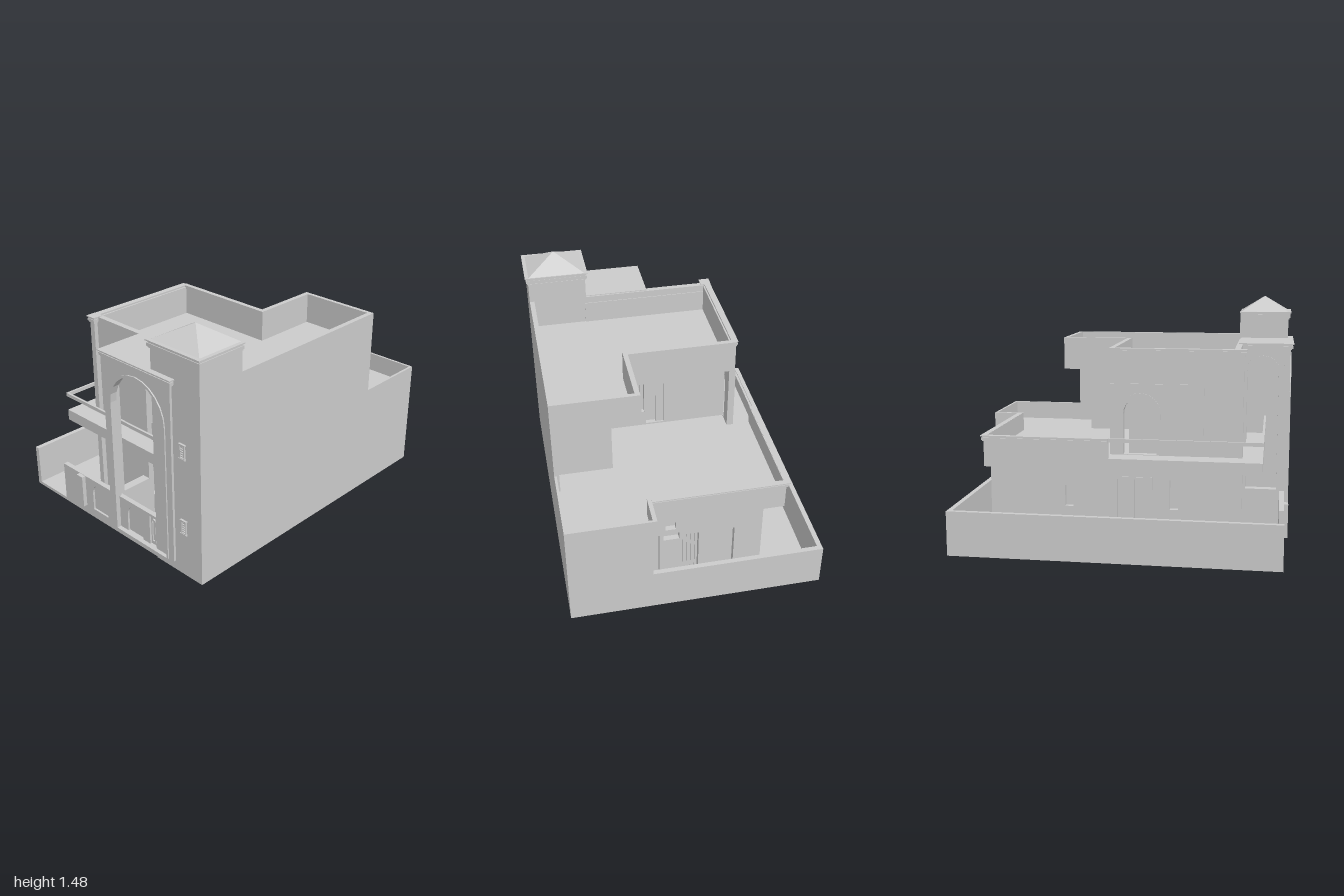
import * as THREE from 'three';

export function createModel() {
  const model = new THREE.Group();
  const mat = new THREE.MeshStandardMaterial({ color: 0xcccccc, flatShading: true, side: THREE.DoubleSide });

  const add = (name, geo) => {
    const m = new THREE.Mesh(geo, mat);
    m.name = name;
    model.add(m);
    return m;
  };
  // box given by its limits
  const box = (name, x0, x1, y0, y1, z0, z1) => {
    const g = new THREE.BoxGeometry(x1 - x0, y1 - y0, z1 - z0);
    g.translate((x0 + x1) / 2, (y0 + y1) / 2, (z0 + z1) / 2);
    return add(name, g);
  };
  // rectangular or round-headed outline
  const outline = (path, [x0, x1, y0, y1, arch]) => {
    const r = (x1 - x0) / 2;
    path.moveTo(x0, y0);
    path.lineTo(x1, y0);
    if (arch) {
      path.lineTo(x1, y1 - r);
      path.absarc((x0 + x1) / 2, y1 - r, r, 0, Math.PI, false);
    } else {
      path.lineTo(x1, y1);
      path.lineTo(x0, y1);
    }
    path.closePath();
    return path;
  };
  const plate = (outer, holes, depth) => {
    const s = outline(new THREE.Shape(), outer);
    holes.forEach(h => s.holes.push(outline(new THREE.Path(), h)));
    return new THREE.ExtrudeGeometry(s, { depth, bevelEnabled: false, curveSegments: 6 });
  };
  // wall facing front or back, from z to z + depth
  const wallZ = (name, outer, holes, z, depth) => add(name, plate(outer, holes, depth).translate(0, 0, z));
  // wall facing sideways, from x to x + depth; the outline runs along z
  const wallX = (name, outer, holes, x, depth) =>
    add(name, plate(outer, holes, depth).rotateY(-Math.PI / 2).translate(x + depth, 0, 0));
  // stepped moulding; out = overhang on [left, right, back, front]
  const cornice = (name, x0, x1, y0, y1, z0, z1, out) => {
    [[0, 0.2, 0.4], [0.2, 0.6, 0.7], [0.6, 0.85, 0.45], [0.85, 1, 1]].forEach(([a, b, k]) =>
      box(name, x0 - out[0] * k, x1 + out[1] * k, y0 + (y1 - y0) * a, y0 + (y1 - y0) * b,
        z0 - out[2] * k, z1 + out[3] * k));
  };
  const grow = ([a, b, c, d, arch], t) => [a - t, b + t, c, d + t, arch];

  // plot and boundary walls
  box('groundSlab', -0.78, 0.76, 0, 0.02, -1, 0.96);
  box('leftBoundaryWall', -0.78, -0.75, 0, 0.27, -1, 0.96);
  box('backBoundaryWall', -0.75, 0.26, 0, 0.27, -1, -0.97);
  box('walkway', -0.45, -0.405, 0.02, 0.03, -0.97, 0.93);
  box('walkwayKerb', -0.48, -0.45, 0.02, 0.045, -0.97, 0.93);

  // street wall with blind arches
  const niches = [[-0.197, -0.06, 0.06, 0.247, true], [0.13, 0.263, 0.06, 0.247, true]];
  wallZ('streetWall', [-0.48, 0.4, 0, 0.27], [...niches, [0.325, 0.378, 0.06, 0.255]], 0.945, 0.015);
  box('streetWallBack', -0.48, 0.4, 0, 0.27, 0.93, 0.947);
  box('streetPilaster', -0.32, -0.265, 0.06, 0.268, 0.95, 0.985);
  wallZ('streetWallSlot', [0.336, 0.37, 0.08, 0.24, true], [[0.343, 0.363, 0.09, 0.233, true]], 0.94, 0.015);

  // ground floor
  box('groundFloorCore', -0.41, 0.76, 0.02, 0.56, -0.79, 0.65);
  box('groundFloorWing', 0.26, 0.76, 0, 0.57, -1, -0.79);
  const gWindow = [-0.04, 0.16, 0.1, 0.42];
  wallX('groundLeftWall', [-0.825, 0.68, 0.02, 0.52],
    [gWindow, [-0.36, -0.31, 0.24, 0.37], [0.28, 0.33, 0.24, 0.42]], -0.442, 0.035);
  wallX('groundWindowFrame', grow(gWindow, 0.015), [gWindow], -0.448, 0.02);
  box('groundWindowMullion', -0.44, -0.41, 0.1, 0.42, 0.055, 0.065);
  wallZ('groundBackWall', [-0.442, 0.27, 0.02, 0.52],
    [[0.09, 0.155, 0.435, 0.49], [0.07, 0.165, 0.355, 0.405], [-0.05, 0.06, 0.03, 0.38],
      [-0.27, -0.12, 0.03, 0.38], [0.19, 0.25, 0.03, 0.4]], -0.825, 0.04);
  for (let i = 0; i < 4; i++) box('backDoorBar', -0.035 + i * 0.025, -0.027 + i * 0.025, 0.03, 0.38, -0.82, -0.81);
  wallZ('groundFrontWall', [-0.442, 0.4, 0.02, 0.52],
    [[0.13, 0.262, 0.03, 0.345], [0.31, 0.383, 0.15, 0.345], [0.02, 0.08, 0.15, 0.345]], 0.645, 0.035);

  // terrace above the ground floor with its parapet band and coping
  box('terraceFloor', -0.565, 0.75, 0.5, 0.57, -0.82, 0.1);
  box('terraceLeftParapet', -0.572, -0.555, 0.5, 0.69, -0.826, -0.07);
  box('terraceBackParapet', -0.555, 0.26, 0.5, 0.69, -0.826, -0.806);
  box('terraceWingParapet', 0.235, 0.26, 0.5, 0.69, -1, -0.806);
  box('terraceRearParapet', 0.26, 0.76, 0.5, 0.69, -1, -0.985);
  box('terraceRightParapet', 0.745, 0.76, 0.5, 0.69, -0.985, -0.48);
  cornice('terraceLeftCoping', -0.572, -0.558, 0.655, 0.691, -0.826, -0.07, [0.02, 0, 0.015, 0]);
  cornice('terraceBackCoping', -0.558, 0.235, 0.655, 0.691, -0.826, -0.807, [0, 0, 0.015, 0]);

  // balcony and handrail
  box('balconySideSlab', -0.572, -0.41, 0.5, 0.57, -0.07, 0.83);
  box('balconyFrontSlab', -0.41, 0.4, 0.5, 0.57, 0.64, 0.83);
  box('sideHandrail', -0.572, -0.558, 0.668, 0.69, -0.07, 0.835);
  box('frontHandrail', -0.558, 0.4, 0.668, 0.69, 0.821, 0.835);

  // upper floor, its rear walls set back under the roof band
  box('upperFloorCore', -0.405, 0.755, 0.55, 1.0, 0.06, 0.65);
  box('upperRearCore', 0.39, 0.755, 0.55, 1.0, -0.36, 0.06);
  box('upperRightWall', 0.73, 0.76, 0.55, 1.21, -0.51, 0.66);
  const archDoor = [0.0, 0.2, 0.575, 0.92, true];
  wallX('upperLeftWall', [-0.08, 0.68, 0.57, 1.2], [archDoor], -0.44, 0.035);
  wallX('leftWallFacing', [-0.08, 0.48, 0.571, 1.0], [grow(archDoor, 0.006)], -0.447, 0.008);
  wallX('archDoorSurround', grow(archDoor, 0.025), [archDoor], -0.451, 0.02);
  wallZ('upperBackWall', [-0.41, 0.4, 0.57, 1.0],
    [[0.12, 0.25, 0.675, 0.89], [-0.01, 0.11, 0.58, 0.88]], 0.03, 0.031);
  for (let i = 0; i < 5; i++) box('windowBar', 0.137 + i * 0.022, 0.145 + i * 0.022, 0.675, 0.89, 0.033, 0.043);
  box('terraceDoorLeaf', -0.01, 0.045, 0.58, 0.88, 0.04, 0.05);
  wallZ('upperFrontWall', [-0.44, 0.4, 0.57, 1.16],
    [[0.16, 0.262, 0.575, 0.84], [0.31, 0.383, 0.65, 0.84], [0.05, 0.11, 0.65, 0.84]], 0.645, 0.035);
  add('doorKnob', new THREE.SphereGeometry(0.008, 10, 8)).position.set(0.17, 0.7, 0.668);
  box('balconyDoorLeaf', 0.16, 0.262, 0.575, 0.84, 0.65, 0.663);

  // flat roof and parapets
  box('roofSlab', -0.42, 0.755, 1.0, 1.02, -0.07, 0.65);
  box('roofRearSlab', 0.25, 0.755, 1.0, 1.02, -0.5, -0.07);
  box('roofFrontParapet', -0.44, 0.4, 1.0, 1.205, 0.65, 0.685);
  box('roofBackParapet', -0.44, 0.24, 1.0, 1.21, -0.085, -0.055);
  box('roofNotchParapet', 0.235, 0.265, 1.0, 1.21, -0.51, -0.055);
  box('roofRearParapet', 0.265, 0.76, 1.0, 1.21, -0.51, -0.485);
  box('cornerPilaster', -0.442, -0.405, 0.02, 1.17, 0.66, 0.71);
  cornice('cornerPilasterCap', -0.44, -0.405, 1.17, 1.21, 0.655, 0.71, [0.018, 0.015, 0, 0.015]);
  cornice('leftParapetCap', -0.44, -0.415, 1.18, 1.21, -0.08, 0.655, [0.015, 0, 0, 0]);

  // entrance portal
  const arch = [0.062, 0.493, 0.06, 1.117, true];
  wallZ('portalFront', [0, 0.55, 0.06, 1.175], [arch], 0.945, 0.035);
  wallZ('portalArchMoulding', grow(arch, 0.014), [arch], 0.96, 0.028);
  wallX('portalSide', [0.68, 0.946, 0.02, 1.175], [[0.715, 0.91, 0.28, 1.12, true]], 0.001, 0.05);
  wallX('portalSideMoulding', [0.703, 0.922, 0.28, 1.132, true], [[0.715, 0.91, 0.28, 1.12, true]], -0.004, 0.008);
  box('portalRoof', 0, 0.4, 1.15, 1.205, 0.655, 0.95);
  cornice('portalCornice', 0, 0.555, 1.17, 1.21, 0.66, 0.98, [0.018, 0.018, 0, 0.02]);

  // tower
  box('tower', 0.39, 0.76, 0, 1.34, 0.65, 0.965);
  cornice('towerCornice', 0.39, 0.76, 1.335, 1.382, 0.655, 0.965, [0.018, 0.018, 0.006, 0.018]);
  const roof = new THREE.ConeGeometry(Math.SQRT1_2, 0.1, 4, 1);
  roof.rotateY(Math.PI / 4).scale(0.37, 1, 0.31).translate(0.573, 1.43, 0.807);
  add('towerRoof', roof);

  // louvred slit windows on the tower
  [0.275, 0.755].forEach(y => {
    wallZ('slitFrame', [0.607, 0.645, y, y + 0.095], [[0.613, 0.639, y + 0.012, y + 0.083]], 0.96, 0.015);
    box('slitSill', 0.602, 0.65, y, y + 0.008, 0.96, 0.978);
    box('slitHead', 0.602, 0.65, y + 0.086, y + 0.095, 0.96, 0.978);
    for (let i = 0; i < 5; i++) box('slitLouvre', 0.613, 0.639, y + 0.017 + i * 0.014, y + 0.023 + i * 0.014, 0.96, 0.972);
  });

  return model;
}
